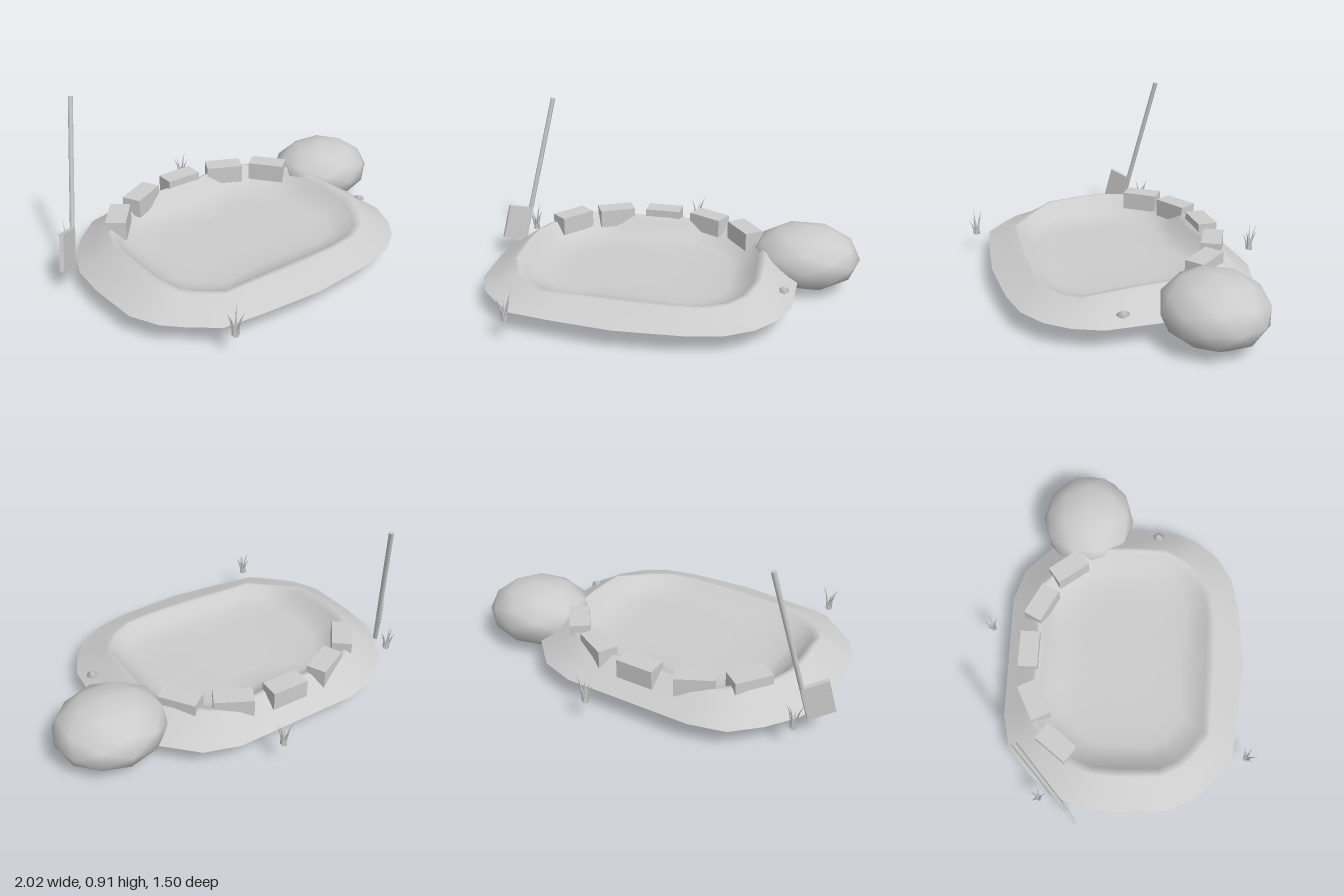
import * as THREE from 'three';
import { mergeVertices } from 'three/addons/utils/BufferGeometryUtils.js';

const BASE = 0.115;
const stone = new THREE.MeshStandardMaterial({ color: 0xcccccc });
stone.name = 'pale grey';
stone.side = THREE.DoubleSide;

function add(parent, geometry, name, x = 0, y = 0, z = 0) {
  const mesh = new THREE.Mesh(geometry, stone);
  mesh.name = name;
  mesh.position.set(x, y, z);
  parent.add(mesh);
  return mesh;
}

// Ground outline (x, z), clockwise from the back left
const OUTLINE = [
  [-0.64, -0.57], [-0.46, -0.615], [-0.12, -0.62], [0.22, -0.625], [0.4, -0.57], [0.56, -0.42],
  [0.64, -0.3], [0.68, -0.14], [0.69, 0.03], [0.68, 0.29], [0.62, 0.43], [0.53, 0.54],
  [0.4, 0.62], [0.22, 0.66], [-0.12, 0.68], [-0.43, 0.65], [-0.64, 0.62], [-0.77, 0.51],
  [-0.85, 0.43], [-0.92, 0.29], [-0.94, 0.02], [-0.93, -0.16], [-0.88, -0.3], [-0.77, -0.45],
];

// Open bank: a raised rim around a shallow basin, lower at the front
function basinGeometry() {
  const cx = -0.125, cz = 0.02;
  // [distance in from the outline, share of rim height]
  const rings = [[0, 0], [0.09, 0.5], [0.165, 0.97], [0.185, 1], [0.21, 0.8], [0.27, 0.3], [0.34, 0.1], [0.45, 0.04]];
  const pos = [], index = [], n = OUTLINE.length;
  for (const [inset, share] of rings) {
    for (const [x, z] of OUTLINE) {
      const dx = x - cx, dz = z - cz, k = 1 - inset / Math.hypot(dx, dz);
      const rim = 0.117 - 0.052 * THREE.MathUtils.smoothstep(z, 0.2, 0.5);
      pos.push(cx + dx * k, BASE + rim * share, cz + dz * k);
    }
  }
  pos.push(cx, BASE + 0.002, cz);
  const last = (rings.length - 1) * n;
  for (let i = 0; i < n; i++) {
    const j = (i + 1) % n;
    for (let r = 0; r < last; r += n) {
      index.push(r + i, r + n + i, r + j, r + j, r + n + i, r + n + j);
    }
    index.push(last + i, last + n, last + j);
  }
  const g = new THREE.BufferGeometry();
  g.setAttribute('position', new THREE.Float32BufferAttribute(pos, 3));
  g.setIndex(index);
  g.computeVertexNormals();
  return g;
}

// Smooth low-poly boulder
function boulderGeometry() {
  let g = new THREE.IcosahedronGeometry(1, 1);
  g.deleteAttribute('normal');
  g.deleteAttribute('uv');
  g = mergeVertices(g, 1e-4);
  g.scale(0.29, 0.17, 0.262);
  g.computeVertexNormals();
  return g;
}

// Five thin blades leaning outward
function grassTuft(x, z, turn) {
  const tuft = new THREE.Group();
  tuft.name = 'grassTuft';
  [0.155, 0.11, 0.135, 0.09, 0.12].forEach((h, i) => {
    const blade = new THREE.ConeGeometry(0.011, h, 3, 3);
    blade.translate(0, h / 2, 0);
    const p = blade.attributes.position;
    for (let v = 0; v < p.count; v++) {
      const t = p.getY(v) / h;
      p.setX(v, p.getX(v) + 0.008 + 0.036 * t * t);
    }
    blade.computeVertexNormals();
    add(tuft, blade, 'grassBlade').rotation.y = turn + (i * Math.PI * 2) / 5;
  });
  tuft.position.set(x, BASE, z);
  return tuft;
}

// Long handle with a flat blade on one side, leaning on the bank
function leaningTool() {
  const tool = new THREE.Group();
  tool.name = 'leaningTool';
  add(tool, new THREE.CylinderGeometry(0.013, 0.013, 0.83, 6), 'handle', 0, 0.415, 0);
  add(tool, new THREE.BoxGeometry(0.14, 0.19, 0.022), 'toolBlade', 0.06, 0.085, 0);
  const up = new THREE.Vector3(0.197, 1, -0.207).normalize();
  const side = new THREE.Vector3(-0.1, 0.037, 0.085);
  side.addScaledVector(up, -side.dot(up)).normalize();
  const out = new THREE.Vector3().crossVectors(side, up);
  tool.quaternion.setFromRotationMatrix(new THREE.Matrix4().makeBasis(side, up, out));
  tool.position.set(-0.912, 0.11, -0.272);
  return tool;
}

export function createModel() {
  const model = new THREE.Group();
  model.name = 'stoneEdgedPond';

  add(model, basinGeometry(), 'basin');
  const puddle = add(model, new THREE.CircleGeometry(0.21, 24), 'puddle', -0.125, BASE + 0.005, 0.02);
  puddle.rotation.x = -Math.PI / 2;

  add(model, boulderGeometry(), 'boulder', 0.715, 0.17, -0.222);

  // Edging blocks along the back: x, z, turn
  const blocks = [[-0.62, -0.31, 0.92], [-0.4, -0.445, 0.47], [-0.12, -0.492, 0], [0.155, -0.445, -0.47], [0.375, -0.31, -0.92]];
  for (const [x, z, turn] of blocks) {
    add(model, new THREE.BoxGeometry(0.2, 0.1, 0.105), 'edgingBlock', x, 0.222, z).rotation.y = turn;
  }

  // Pebbles near the right bank
  for (const [x, y, z] of [[0.63, 0.155, 0.19], [0.64, 0.112, 0.2], [0.487, 0.113, 0.13], [0.513, 0.113, 0.02]]) {
    add(model, new THREE.SphereGeometry(1, 6, 2), 'pebble', x, y, z).scale.set(0.032, 0.023, 0.035);
  }

  model.add(grassTuft(0.04, -0.72, 0.3), grassTuft(-0.885, -0.39, 1.2), grassTuft(-0.63, 0.695, 0.8));
  model.add(leaningTool());
  return model;
}
